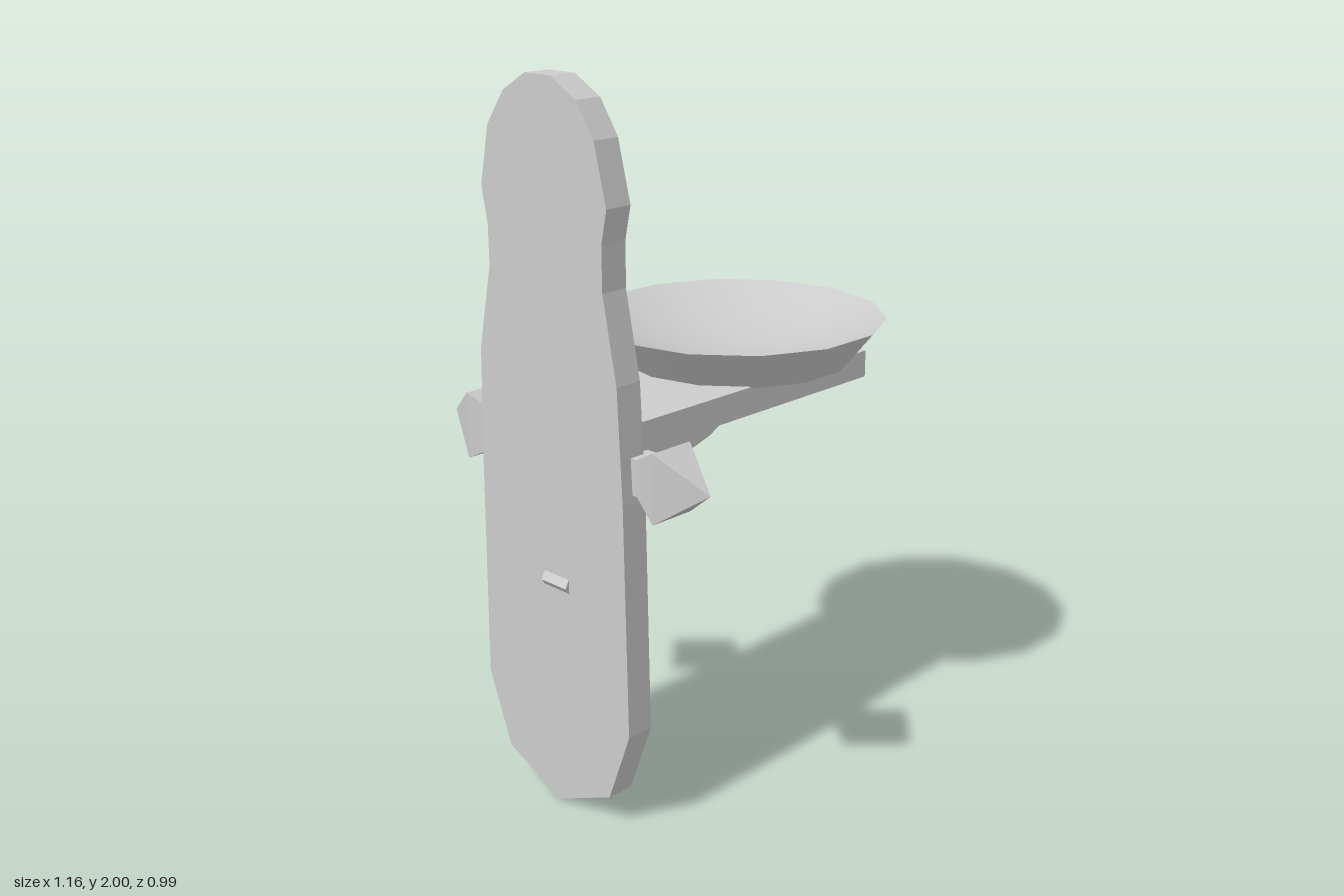
import * as THREE from 'three';

const flat = new THREE.MeshStandardMaterial({ color: 0xcccccc, flatShading: true });
const smooth = new THREE.MeshStandardMaterial({ color: 0xcccccc });

function addMesh(parent, name, geometry, material = flat) {
  const mesh = new THREE.Mesh(geometry, material);
  mesh.name = name;
  parent.add(mesh);
  return mesh;
}

function extrude(points, depth) {
  const shape = new THREE.Shape(points.map(([x, y]) => new THREE.Vector2(x, y)));
  return new THREE.ExtrudeGeometry(shape, { depth, bevelEnabled: false });
}

// Square-section bar along +y; each section is [distance, half depth x, half width z]
function loftBar(sections) {
  const corners = [[1, 1], [1, -1], [-1, -1], [-1, 1]];
  const at = ([d, hx, hz], k) => [corners[k % 4][0] * hx, d, corners[k % 4][1] * hz];
  const pos = [];
  for (let i = 0; i < sections.length - 1; i++) {
    for (let k = 0; k < 4; k++) {
      const a = at(sections[i], k), b = at(sections[i], k + 1);
      const c = at(sections[i + 1], k + 1), d = at(sections[i + 1], k);
      pos.push(...a, ...b, ...c);
      if (sections[i + 1][1] > 0) pos.push(...a, ...c, ...d);
    }
  }
  const g = new THREE.BufferGeometry();
  g.setAttribute('position', new THREE.Float32BufferAttribute(pos, 3));
  g.computeVertexNormals();
  return g;
}

export function createModel() {
  const model = new THREE.Group();
  model.name = 'wallSconce';

  // Backboard: outline as [z, y], slightly uneven like hand-cut wood
  const outline = [
    [-0.015, 0], [-0.22, 0.09], [-0.3, 0.3], [-0.29, 0.95], [-0.28, 1.26], [-0.23, 1.49],
    [-0.23, 1.6], [-0.25, 1.7], [-0.215, 1.86], [-0.15, 1.95], [-0.065, 2], [0.03, 2],
    [0.12, 1.95], [0.18, 1.86], [0.22, 1.7], [0.2, 1.61], [0.2, 1.49], [0.245, 1.26],
    [0.26, 0.95], [0.27, 0.3], [0.19, 0.09],
  ];
  const board = addMesh(model, 'backboard', extrude(outline, 0.08));
  board.rotation.y = -Math.PI / 2;
  board.position.x = -0.49;

  // Iron cross with a spearhead on each arm
  const cross = new THREE.Group();
  cross.name = 'ironCross';
  cross.position.set(-0.497, 1.02, 0);
  model.add(cross);
  const arms = [
    ['upperArm', 0, 0.515], ['frontArm', Math.PI / 2, 0.495],
    ['lowerArm', Math.PI, 0.905], ['rearArm', -Math.PI / 2, 0.495],
  ];
  for (const [name, angle, length] of arms) {
    const arm = addMesh(cross, name, loftBar([
      [0, 0.0375, 0.049], [length - 0.22, 0.0375, 0.049],
      [length - 0.135, 0.067, 0.094], [length, 0, 0],
    ]));
    arm.rotation.x = angle;
  }
  const hubPoints = [[0.095, 0.049], [0.049, 0.095], [-0.049, 0.095], [-0.095, 0.049],
    [-0.095, -0.049], [-0.049, -0.095], [0.049, -0.095], [0.095, -0.049]];
  const hub = addMesh(cross, 'crossHub', extrude(hubPoints, 0.075));
  hub.rotation.y = -Math.PI / 2;
  hub.position.x = 0.0375;

  // Shelf
  const shelf = addMesh(model, 'shelf', new THREE.BoxGeometry(0.94, 0.078, 0.52));
  shelf.position.set(-0.05, 1.109, -0.02);

  // Curved support, its tail passing through the backboard
  const support = addMesh(model, 'supportBracket', extrude([
    [0.19, 1.072], [-0.12, 1.072], [-0.305, 1.01], [-0.455, 0.865], [-0.57, 0.685],
    [-0.583, 0.662], [-0.57, 0.645], [-0.49, 0.58], [-0.455, 0.63], [-0.34, 0.79],
    [-0.24, 0.895], [-0.03, 0.955],
  ], 0.096));
  support.position.z = -0.048;

  // Dish: flat base, flared wall and shallow hollow
  const dish = new THREE.Group();
  dish.name = 'dish';
  dish.position.set(0.15, 1.142, -0.02);
  model.add(dish);
  const hollow = [];
  for (let i = 0; i <= 5; i++) {
    const t = 1 - i / 5;
    hollow.push([0.43 * t, 0.023 + 0.095 * t * t]);
  }
  const profiles = {
    dishBase: [[0, 0], [0.335, 0]],
    dishWall: [[0.335, 0], [0.43, 0.118]],
    dishHollow: hollow,
  };
  for (const [name, pts] of Object.entries(profiles)) {
    addMesh(dish, name, new THREE.LatheGeometry(
      pts.map(([r, y]) => new THREE.Vector2(r, y)), 14, Math.PI / 2), smooth);
  }

  return model;
}
